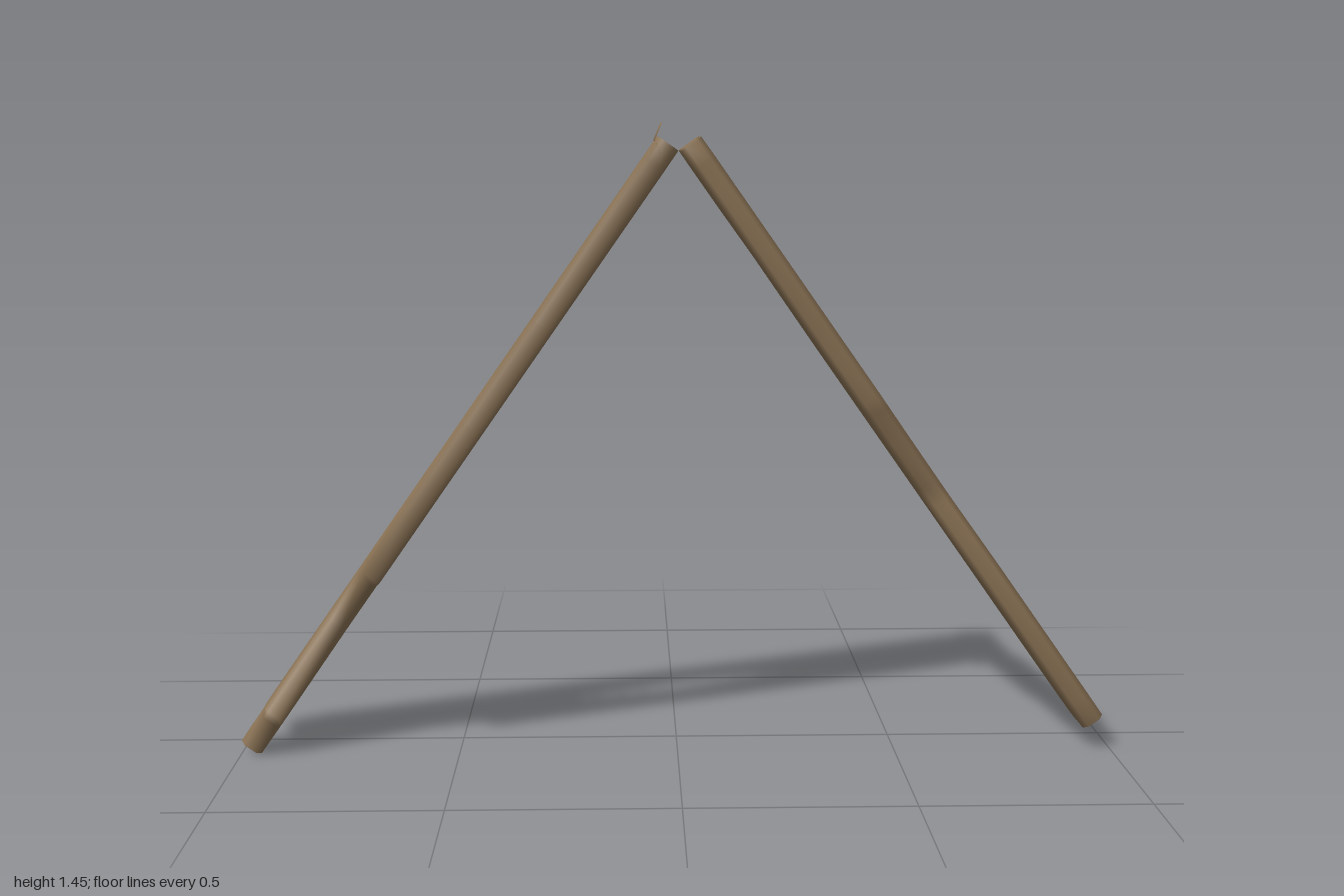
import * as THREE from 'three';

const wood = new THREE.MeshStandardMaterial({ color: 0x8b7355 });
wood.name = 'weathered wood';

const HALF = 0.027; // half the plank thickness

// Linear lookup in a list of [station, value] points.
function sample(points, t) {
  if (t <= points[0][0]) return points[0][1];
  for (let i = 1; i < points.length; i++) {
    const [t0, v0] = points[i - 1], [t1, v1] = points[i];
    if (t <= t1) return v0 + (v1 - v0) * (t - t0) / (t1 - t0);
  }
  return points[points.length - 1][1];
}

// Sloping plank lofted from bevelled sections; back and front are its worn
// edges, given as [horizontal distance from the ridge, z].
function plank(name, top, end, back, front) {
  const d = new THREE.Vector2(end[0] - top[0], end[1] - top[1]).normalize();
  const n = [-d.y, d.x];
  const x0 = Math.abs(top[0]), x1 = Math.abs(end[0]);
  const stations = [x0, x0 + 0.03, x1, ...back.map(p => p[0]), ...front.map(p => p[0])]
    .filter(x => x >= x0 && x <= x1).sort((a, b) => a - b)
    .filter((x, i, all) => i === 0 || x - all[i - 1] > 0.004);
  const zMin = Math.min(...back.map(p => p[1])), zMax = Math.max(...front.map(p => p[1]));
  const pos = [], idx = [];

  stations.forEach((x, r) => {
    const pinch = r === 0 ? 0.015 : 0;
    const zb = sample(back, x) + pinch, zf = sample(front, x) - pinch;
    // chipped places have a longer bevel
    const bb = 0.012 + 0.4 * (zb - zMin), bf = 0.012 + 0.4 * (zMax - zf);
    const k = (x - x0) / (x1 - x0);
    const cx = top[0] + (end[0] - top[0]) * k, cy = top[1] + (end[1] - top[1]) * k;
    const h = HALF, e = HALF * 0.55;
    const ring = [[h, zb + bb], [h, zf - bf], [e, zf], [-e, zf],
      [-h, zf - bf], [-h, zb + bb], [-e, zb], [e, zb]];
    for (const [a, z] of ring) pos.push(cx + n[0] * a, cy + n[1] * a, z);
  });

  const last = stations.length - 1;
  for (let r = 0; r < last; r++) {
    for (let i = 0; i < 8; i++) {
      const a = r * 8 + i, b = r * 8 + (i + 1) % 8;
      idx.push(a, b, a + 8, b, b + 8, a + 8);
    }
  }
  // end caps with their own vertices, so the end edges stay sharp
  for (const r of [0, last]) {
    const base = pos.length / 3;
    pos.push(...pos.slice(r * 24, r * 24 + 24));
    for (let i = 1; i < 7; i++) {
      if (r === 0) idx.push(base, base + i + 1, base + i);
      else idx.push(base, base + i, base + i + 1);
    }
  }
  const geo = new THREE.BufferGeometry();
  geo.setAttribute('position', new THREE.Float32BufferAttribute(pos, 3));
  geo.setIndex(idx);
  geo.computeVertexNormals();
  const mesh = new THREE.Mesh(geo, wood);
  mesh.name = name;
  return mesh;
}

export function createModel() {
  const group = new THREE.Group();
  group.name = 'roofFrame';
  const leftTop = [0.03, 1.385], rightTop = [-0.02, 1.385];

  // planks on the +x slope
  group.add(plank('leftBackPlank', leftTop, [0.977, 0.041],
    [[0, -0.14], [0.12, -0.135], [0.2, -0.085], [0.27, -0.11], [0.36, -0.14], [0.93, -0.14], [0.977, -0.12]],
    [[0, 0.005], [0.3, 0], [0.47, -0.02], [0.56, -0.015], [0.65, 0], [0.93, 0], [0.977, -0.01]]));
  group.add(plank('leftFrontPlank', leftTop, [0.96, 0.064],
    [[0, 0.01], [0.28, 0.01], [0.36, 0.025], [0.45, 0.042], [0.57, 0.008], [0.92, 0.008], [0.96, 0.025]],
    [[0, 0.138], [0.43, 0.138], [0.5, 0.115], [0.6, 0.098], [0.71, 0.138], [0.92, 0.138], [0.96, 0.128]]));

  // planks on the -x slope
  group.add(plank('rightBackPlank', rightTop, [-0.948, 0.058],
    [[0, -0.14], [0.91, -0.14], [0.948, -0.115]],
    [[0, 0], [0.3, 0], [0.38, -0.028], [0.44, -0.04], [0.56, -0.018], [0.64, -0.003], [0.92, 0], [0.948, -0.015]]));
  group.add(plank('rightFrontPlank', rightTop, [-0.977, 0.016],
    [[0, 0.006], [0.3, 0.01], [0.46, 0.045], [0.54, 0.025], [0.6, 0.005], [0.93, 0.005], [0.977, 0.018]],
    [[0, 0.136], [0.695, 0.136], [0.71, 0.088], [0.78, 0.08], [0.92, 0.132], [0.977, 0.122]]));

  // open-ended ridge roll over the joint
  const ridge = new THREE.Mesh(new THREE.CylinderGeometry(0.054, 0.054, 0.278, 8, 1, true), wood);
  ridge.name = 'ridgeRoll';
  ridge.rotation.x = Math.PI / 2;
  ridge.position.set(0.004, 1.393, 0);
  group.add(ridge);
  return group;
}
